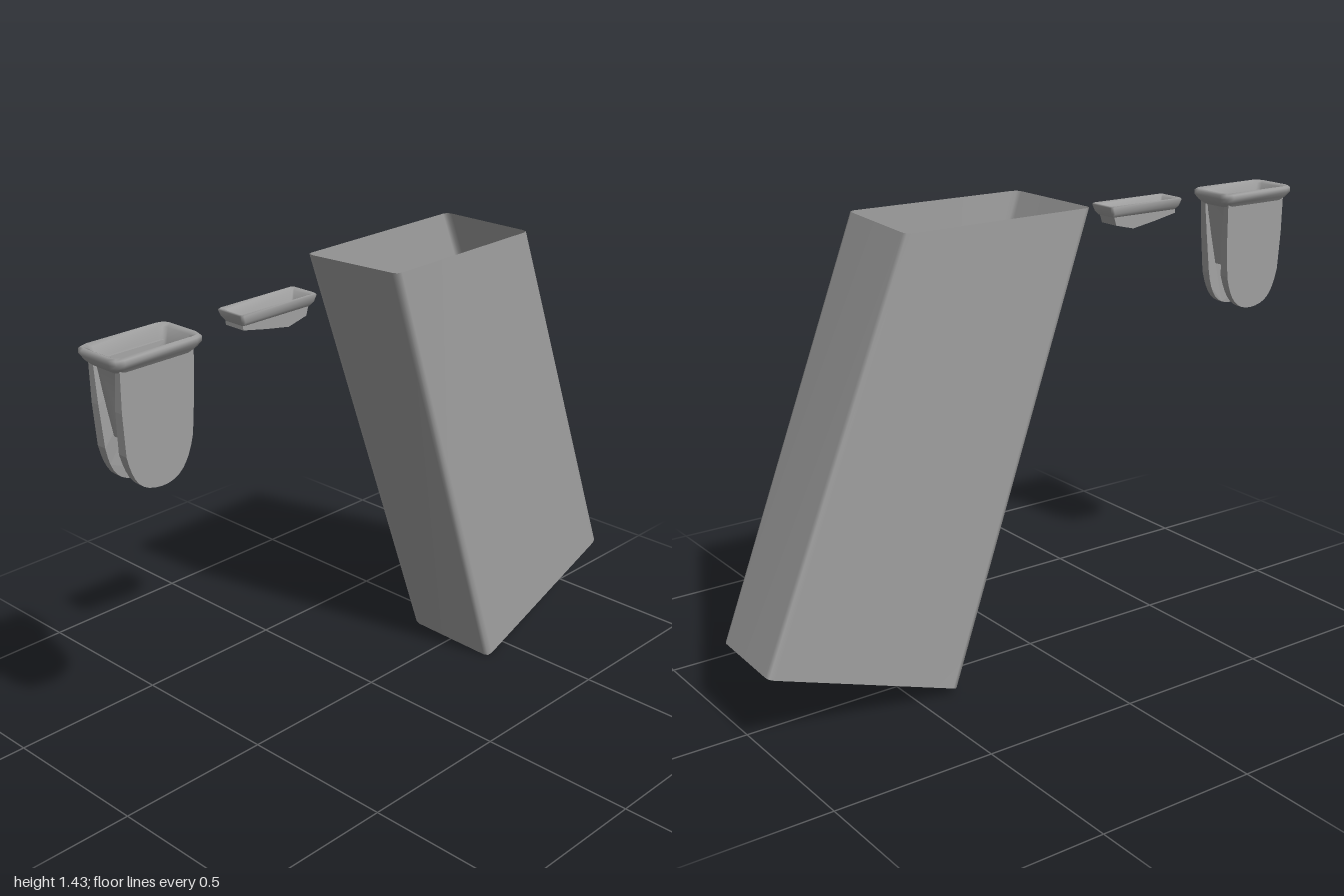
import * as THREE from 'three';

const V = (x, y, z) => new THREE.Vector3(x, y, z);

// Rounds the corners of a four-sided ring (corners run counter-clockwise from above)
function roundRing(corners, r) {
  const out = [];
  corners.forEach((c, i) => {
    const n = corners.length;
    const toward = (q) => c.clone().add(q.clone().sub(c).setLength(r));
    const a = toward(corners[(i + n - 1) % n]);
    const b = toward(corners[(i + 1) % n]);
    const mid = a.clone().add(b).multiplyScalar(0.25).addScaledVector(c, 0.5);
    out.push(a, mid, b);
  });
  return out;
}

// Level rectangular ring centred on z = cz
const rectRing = (cz, [y, hx, hz, r]) => roundRing(
  [V(hx, y, cz + hz), V(hx, y, cz - hz), V(-hx, y, cz - hz), V(-hx, y, cz + hz)], r);

// Skins a list of rings; caps get their own vertices so their edge stays sharp
function skin(rings, { capStart = false, capEnd = false } = {}) {
  const n = rings[0].length;
  const pts = rings.flat();
  const index = [];
  for (let k = 0; k < rings.length - 1; k++) {
    for (let i = 0; i < n; i++) {
      const a = k * n + i, b = k * n + (i + 1) % n;
      index.push(a, b, b + n, a, b + n, a + n);
    }
  }
  const cap = (ring, flip) => {
    const s = pts.length;
    pts.push(...ring);
    for (let i = 1; i < n - 1; i++) {
      if (flip) index.push(s, s + i + 1, s + i);
      else index.push(s, s + i, s + i + 1);
    }
  };
  if (capStart) cap(rings[0], true);
  if (capEnd) cap(rings[rings.length - 1], false);
  const g = new THREE.BufferGeometry().setFromPoints(pts);
  g.setIndex(index);
  g.computeVertexNormals();
  return g;
}

// Extrudes a (z, y) outline along x, centred on x = 0
function sideExtrude(shape, width) {
  const g = new THREE.ExtrudeGeometry(shape, { depth: width, bevelEnabled: false, curveSegments: 8 });
  g.translate(0, 0, -width / 2);
  g.rotateY(-Math.PI / 2); // shape x becomes z, depth becomes -x
  return g;
}

export function createModel() {
  const model = new THREE.Group();
  const grey = new THREE.MeshStandardMaterial({ color: 0xa0a0a0, side: THREE.DoubleSide });
  grey.name = 'grey';
  const add = (name, geometry, parent = model) => {
    const mesh = new THREE.Mesh(geometry, grey);
    mesh.name = name;
    parent.add(mesh);
    return mesh;
  };

  // Leaning open-topped sleeve with a closed, slanted bottom
  const bottom = [V(0.168, 0, -0.39), V(0.162, 0.225, -0.98), V(-0.152, 0.235, -0.998), V(-0.15, 0.018, -0.375)];
  const top = [V(0.176, 1.425, 0.08), V(0.165, 1.428, -0.515), V(-0.18, 1.42, -0.538), V(-0.163, 1.42, 0.1)];
  add('sleeve', skin([roundRing(bottom, 0.02), roundRing(top, 0.02)], { capStart: true }));

  // Flanged cup: rim and inner pocket in one skin
  const cup = new THREE.Group();
  cup.name = 'cup';
  model.add(cup);
  const cupZ = 0.85;
  const cupRings = [
    [1.335, 0.062, 0.12, 0.02],
    [1.35, 0.072, 0.138, 0.025],
    [1.365, 0.085, 0.146, 0.03],
    [1.378, 0.083, 0.147, 0.03],
    [1.384, 0.076, 0.14, 0.025],
    [1.376, 0.062, 0.125, 0.02],
    [1.33, 0.05, 0.112, 0.015],
    [1.22, 0.034, 0.1, 0.01],
    [1.14, 0.024, 0.09, 0.01],
  ].map((p) => rectRing(cupZ, p));
  add('cupRimAndPocket', skin(cupRings, { capEnd: true }), cup);

  // Two cheeks with rounded lower ends, tapering and spreading downwards
  const cheekShape = new THREE.Shape();
  cheekShape.moveTo(0.97, 1.345);
  cheekShape.lineTo(0.97, 1.23);
  cheekShape.lineTo(0.963, 1.11);
  cheekShape.bezierCurveTo(0.945, 1.03, 0.92, 0.998, 0.85, 0.995);
  cheekShape.bezierCurveTo(0.79, 0.995, 0.76, 1.03, 0.742, 1.11);
  cheekShape.lineTo(0.733, 1.23);
  cheekShape.lineTo(0.73, 1.345);
  for (const side of [-1, 1]) {
    const g = sideExtrude(cheekShape, 1);
    const p = g.attributes.position;
    for (let i = 0; i < p.count; i++) {
      const y = p.getY(i);
      const outer = THREE.MathUtils.mapLinear(y, 0.995, 1.345, 0.057, 0.064);
      const inner = y > 1.14
        ? THREE.MathUtils.mapLinear(y, 1.14, 1.345, 0.026, 0.045)
        : THREE.MathUtils.mapLinear(y, 0.995, 1.14, 0.036, 0.026);
      const isOuter = p.getX(i) * side > 0;
      p.setX(i, side * (isOuter ? outer : inner));
    }
    g.computeVertexNormals();
    add(side > 0 ? 'leftCheek' : 'rightCheek', g, cup);
  }

  // Small shallow tray with a wedge-shaped underside
  const tray = new THREE.Group();
  tray.name = 'tray';
  model.add(tray);
  const trayRings = [
    [1.35, 0.036, 0.125, 0.006],
    [1.362, 0.047, 0.133, 0.008],
    [1.382, 0.05, 0.141, 0.008],
    [1.386, 0.046, 0.137, 0.008],
    [1.38, 0.034, 0.125, 0.006],
    [1.356, 0.026, 0.115, 0.006],
  ].map((p) => rectRing(0.408, p));
  add('trayRim', skin(trayRings, { capEnd: true }), tray);

  const wedge = new THREE.Shape([
    [0.532, 1.354], [0.532, 1.338], [0.45, 1.322], [0.365, 1.308], [0.298, 1.324], [0.288, 1.354],
  ].map(([z, y]) => new THREE.Vector2(z, y)));
  add('trayUnderside', sideExtrude(wedge, 0.07), tray);

  return model;
}
